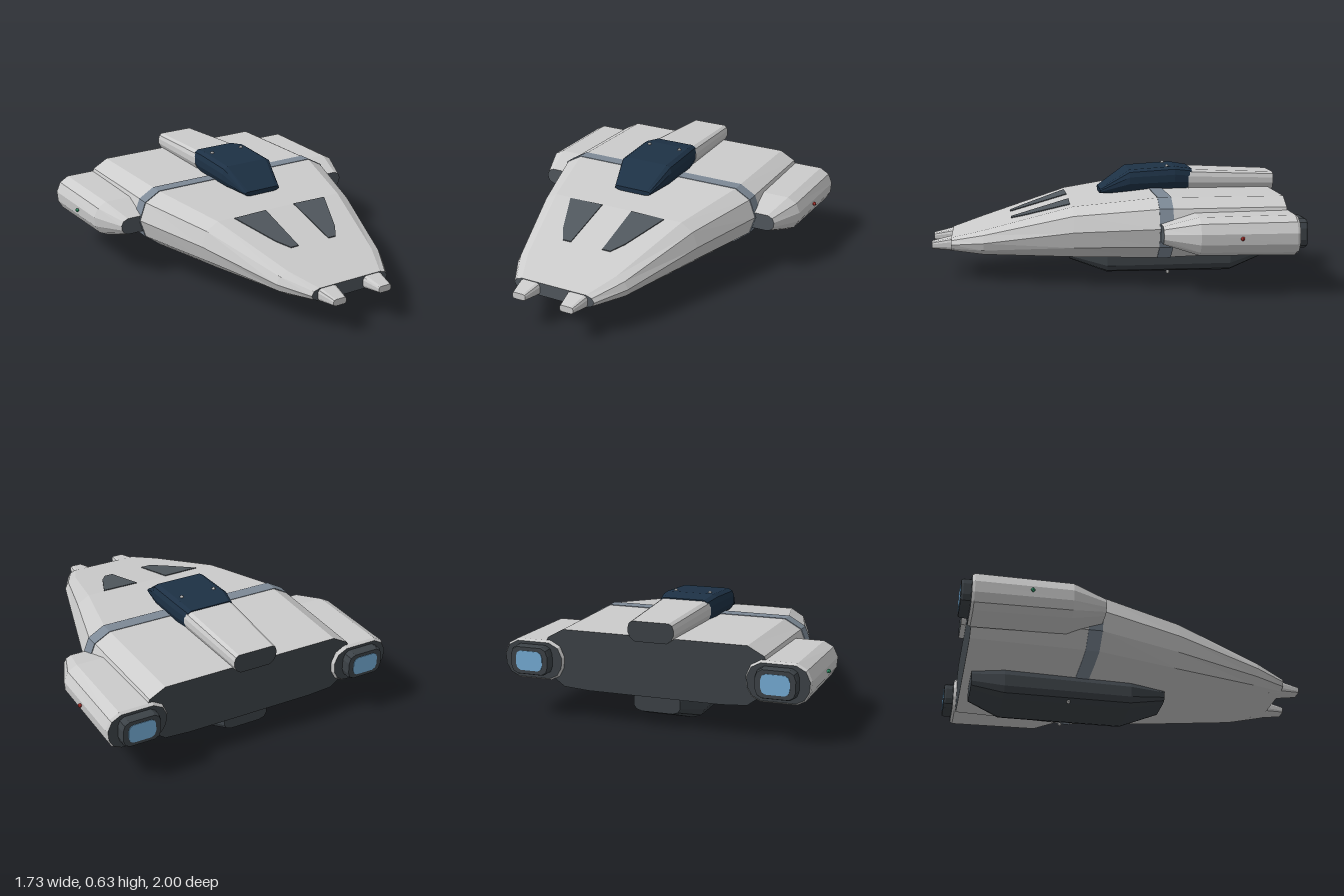
import * as THREE from 'three';

const mat = (color) => new THREE.MeshStandardMaterial({ color, flatShading: true });
const grey = mat(0xcccccc), dark = mat(0x50575d), black = mat(0x3c4247), glass = mat(0x1d3145);
const band = mat(0x7d8996), glow = mat(0x74abd4), red = mat(0xc03a35), green = mat(0x3aa878);

// Half outlines from bottom to top on the +x side, in units of half width / half height
const HULL = [[0.58, -1], [0.8, -0.94], [0.95, -0.5], [1, 0.1], [0.94, 0.7], [0.8, 1]];
const POD = [[0.55, -1], [0.82, -0.78], [0.97, -0.35], [1, 0.2], [0.86, 0.72], [0.55, 1]];
const ROUND = [[0.66, -1], [0.9, -0.8], [1, -0.4], [1, 0.4], [0.9, 0.8], [0.66, 1]];
const CANOPY = [[0.7, -1], [0.9, -0.65], [1, -0.15], [1, 0.4], [0.94, 0.8], [0.8, 1]];

// Ring of points for one station [z, halfWidth, yBottom, yTop]
function ring(profile, [z, w, y0, y1]) {
  const full = [...profile, ...profile.map(([x, y]) => [-x, y]).reverse()];
  return full.map(([x, y]) => [x * w, (y0 + y1) / 2 + (y * (y1 - y0)) / 2, z]);
}

function geometryOf(triangles) {
  const g = new THREE.BufferGeometry();
  g.setAttribute('position', new THREE.Float32BufferAttribute(triangles.flat(), 3));
  g.computeVertexNormals();
  return g;
}

// Skin through stations ordered from back to front, with separately coloured end caps
function loft(name, profile, stations, skin, backMat = skin, frontMat = skin) {
  const group = new THREE.Group();
  group.name = name;
  const rings = stations.map((s) => ring(profile, s));
  const n = rings[0].length, sides = [], back = [], front = [];
  const first = rings[0], last = rings[rings.length - 1];
  for (let j = 0; j < n; j++) {
    const k = (j + 1) % n;
    for (let i = 0; i + 1 < rings.length; i++) {
      const a = rings[i][j], b = rings[i][k], c = rings[i + 1][k], d = rings[i + 1][j];
      sides.push(...[a, b, c, a, c, d]);
    }
    if (j > 0 && j < n - 1) {
      front.push(last[0], last[j], last[k]);
      back.push(first[0], first[k], first[j]);
    }
  }
  [['Skin', sides, skin], ['Back', back, backMat], ['Front', front, frontMat]].forEach(([part, tris, m]) => {
    const mesh = new THREE.Mesh(geometryOf(tris), m);
    mesh.name = name + part;
    group.add(mesh);
  });
  return group;
}

// Height of the sloping deck in front of the canopy
const deckY = (z) => (z > 0.22 ? 0.44 - ((z - 0.22) * 0.145) / 0.49 : 0.44);

// Dark window plate that follows the deck
function windowPlate(side) {
  const pts = [[0.095, 0.225], [0.305, 0.23], [0.2, 0.48], [0.15, 0.555], [0.1, 0.555]];
  const shape = new THREE.Shape(pts.map(([x, z]) => new THREE.Vector2(side * x, -z)));
  const g = new THREE.ExtrudeGeometry(shape, { depth: 0.014, bevelEnabled: false });
  g.rotateX(-Math.PI / 2);
  const p = g.attributes.position;
  for (let i = 0; i < p.count; i++) p.setY(i, p.getY(i) + deckY(p.getZ(i)) - 0.009);
  g.computeVertexNormals();
  const mesh = new THREE.Mesh(g, dark);
  mesh.name = 'deckWindow';
  return mesh;
}

function light(name, material, x, y, z) {
  const mesh = new THREE.Mesh(new THREE.SphereGeometry(0.011, 8, 6), material);
  mesh.name = name;
  mesh.position.set(x, y, z);
  return mesh;
}

export function createModel() {
  const model = new THREE.Group();
  model.name = 'shuttle';

  // Main hull with dark stern and nose faces
  model.add(loft('hull', HULL, [
    [-0.925, 0.635, 0.18, 0.5], [-0.23, 0.65, 0.16, 0.5], [0.22, 0.51, 0.153, 0.44],
    [0.71, 0.35, 0.155, 0.295], [0.89, 0.25, 0.168, 0.243],
  ], grey, black, dark));

  // Painted band around the hull
  model.add(loft('hullBand', HULL, [
    [-0.305, 0.652, 0.159, 0.503], [-0.23, 0.654, 0.157, 0.503],
  ], band));

  // Canopy and the spine behind it
  model.add(loft('canopy', CANOPY, [
    [-0.48, 0.145, 0.48, 0.61], [-0.38, 0.165, 0.475, 0.625],
    [-0.12, 0.165, 0.47, 0.608], [0.045, 0.115, 0.468, 0.494],
  ], glass));
  model.add(loft('spine', CANOPY, [
    [-0.955, 0.125, 0.478, 0.585], [-0.46, 0.15, 0.478, 0.605],
  ], grey, black));

  // Belly pod
  model.add(loft('bellyPod', ROUND, [
    [-0.88, 0.13, 0.085, 0.19], [-0.7, 0.2, 0.02, 0.19],
    [0.01, 0.2, 0.02, 0.17], [0.22, 0.12, 0.09, 0.165],
  ], black));

  for (const side of [1, -1]) {
    // Engine pod with nozzle and glowing exhaust
    const engine = new THREE.Group();
    engine.name = side > 0 ? 'leftEngine' : 'rightEngine';
    engine.position.x = side * 0.675;
    engine.add(
      loft('enginePod', POD, [
        [-0.945, 0.165, 0.23, 0.425], [-0.93, 0.172, 0.22, 0.435],
        [-0.42, 0.172, 0.226, 0.428], [-0.235, 0.092, 0.28, 0.375],
      ], grey, black, dark),
      loft('nozzle', ROUND, [
        [-0.997, 0.105, 0.26, 0.405], [-0.985, 0.11, 0.255, 0.41], [-0.9, 0.11, 0.255, 0.41],
      ], black),
      loft('exhaustGlow', ROUND, [[-1, 0.076, 0.28, 0.385], [-0.98, 0.076, 0.28, 0.385]], glow),
    );
    model.add(engine);

    // Nose prong
    const prong = loft('noseProng', ROUND, [
      [0.82, 0.068, 0.163, 0.24], [0.89, 0.062, 0.168, 0.24], [1, 0.041, 0.178, 0.215],
    ], grey);
    prong.position.x = side * 0.148;
    model.add(prong);

    // Windows and small lamps
    model.add(windowPlate(side));
    model.add(light('canopyLamp', grey, side * 0.1, 0.622, -0.34));
    model.add(light('bellyLamp', grey, side * 0.165, 0.018, -0.34));
    model.add(light('sideLamp', side > 0 ? red : green, side * 0.853, 0.325, -0.635));
  }
  return model;
}
